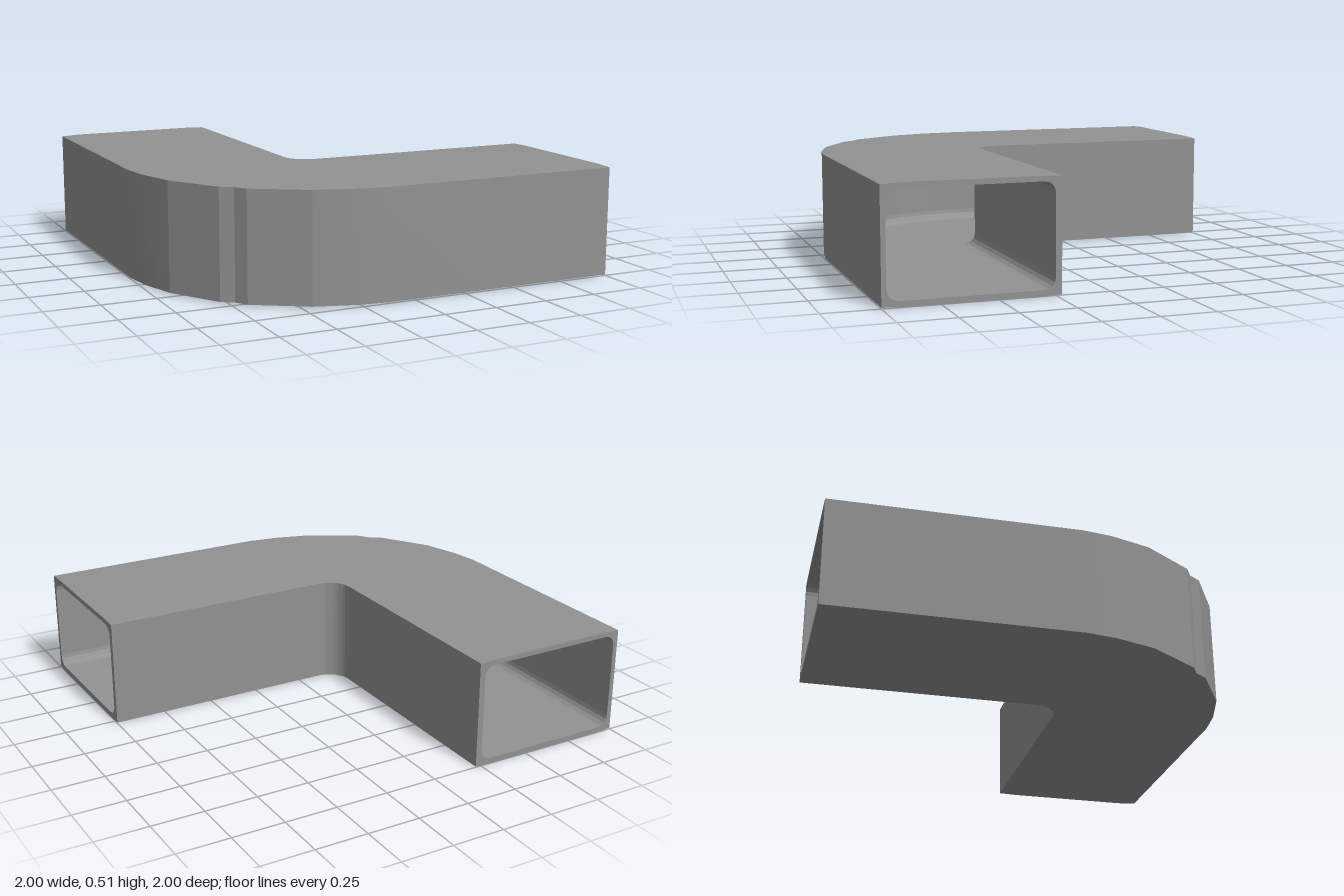
import * as THREE from 'three';
import { toCreasedNormals } from 'three/addons/utils/BufferGeometryUtils.js';

// Plan stations [outer x, outer z, inner x, inner z] from the back end to the middle of the bend
const half = [
  [-1, -1, -0.222, -1],
  [-1, 0.13, -0.222, 0.115],
  [-0.98, 0.27, -0.218, 0.14],
  [-0.925, 0.455, -0.213, 0.155],
  [-0.78, 0.69, -0.2, 0.178],
  [-0.725, 0.725, -0.19, 0.19],
];
// The second half mirrors the first across the diagonal
const mirrored = half.slice(0, -1).reverse().map(([a, b, c, d]) => [-b, -a, -d, -c]);
const stations = [...half, ...mirrored];

// Cross-sections as (across, height); across runs 0 at the outer wall to 1 at the inner wall
const W = 0.778, H = 0.51;
const outerLoop = [[0, 0.005], [0.12, 0], [0.88, 0], [1, 0.003], [1, H - 0.003], [0.88, H], [0.12, H], [0, H - 0.004]];

function roundedLoop(x0, x1, y0, y1, r, steps) {
  const pts = [];
  [[x1 - r, y0 + r], [x1 - r, y1 - r], [x0 + r, y1 - r], [x0 + r, y0 + r]].forEach(([cx, cy], k) => {
    for (let s = 0; s <= steps; s++) {
      const a = (k - 1 + s / steps) * Math.PI / 2;
      pts.push([(cx + r * Math.cos(a)) / W, cy + r * Math.sin(a)]);
    }
  });
  return pts;
}
const innerLoop = roundedLoop(0.022, W - 0.028, 0.027, H - 0.024, 0.05, 4);

function place([ox, oz, ix, iz], [u, y]) {
  return [ox + (ix - ox) * u, y, oz + (iz - oz) * u];
}

// Skin a section loop along all stations
function loft(loop) {
  const pos = [], n = loop.length;
  for (let i = 0; i < stations.length - 1; i++) {
    for (let j = 0; j < n; j++) {
      const a = place(stations[i], loop[j]), b = place(stations[i], loop[(j + 1) % n]);
      const c = place(stations[i + 1], loop[j]), d = place(stations[i + 1], loop[(j + 1) % n]);
      pos.push(...a, ...b, ...d, ...a, ...d, ...c);
    }
  }
  const g = new THREE.BufferGeometry();
  g.setAttribute('position', new THREE.Float32BufferAttribute(pos, 3));
  return toCreasedNormals(g, 0.15);
}

// Flat rim closing the wall thickness at one open end
function rim(station, flip) {
  const toV = (l) => l.map(([u, y]) => new THREE.Vector2(u, y));
  const shape = new THREE.Shape(toV(outerLoop));
  shape.holes.push(new THREE.Path(toV(innerLoop)));
  const g = new THREE.ShapeGeometry(shape);
  const p = g.attributes.position;
  for (let i = 0; i < p.count; i++) p.setXYZ(i, ...place(station, [p.getX(i), p.getY(i)]));
  if (flip) g.setIndex(Array.from(g.index.array).reverse());
  g.computeVertexNormals();
  return g;
}

export function createModel() {
  const metal = new THREE.MeshStandardMaterial({ color: 0x929292 });
  metal.name = 'ductGrey';
  const group = new THREE.Group();
  group.name = 'elbowDuct';
  const add = (name, geometry) => {
    const mesh = new THREE.Mesh(geometry, metal);
    mesh.name = name;
    group.add(mesh);
  };
  add('outerWall', loft(outerLoop));
  add('innerWall', loft([...innerLoop].reverse()));
  add('backRim', rim(stations[0], true));
  add('sideRim', rim(stations[stations.length - 1], false));
  return group;
}
